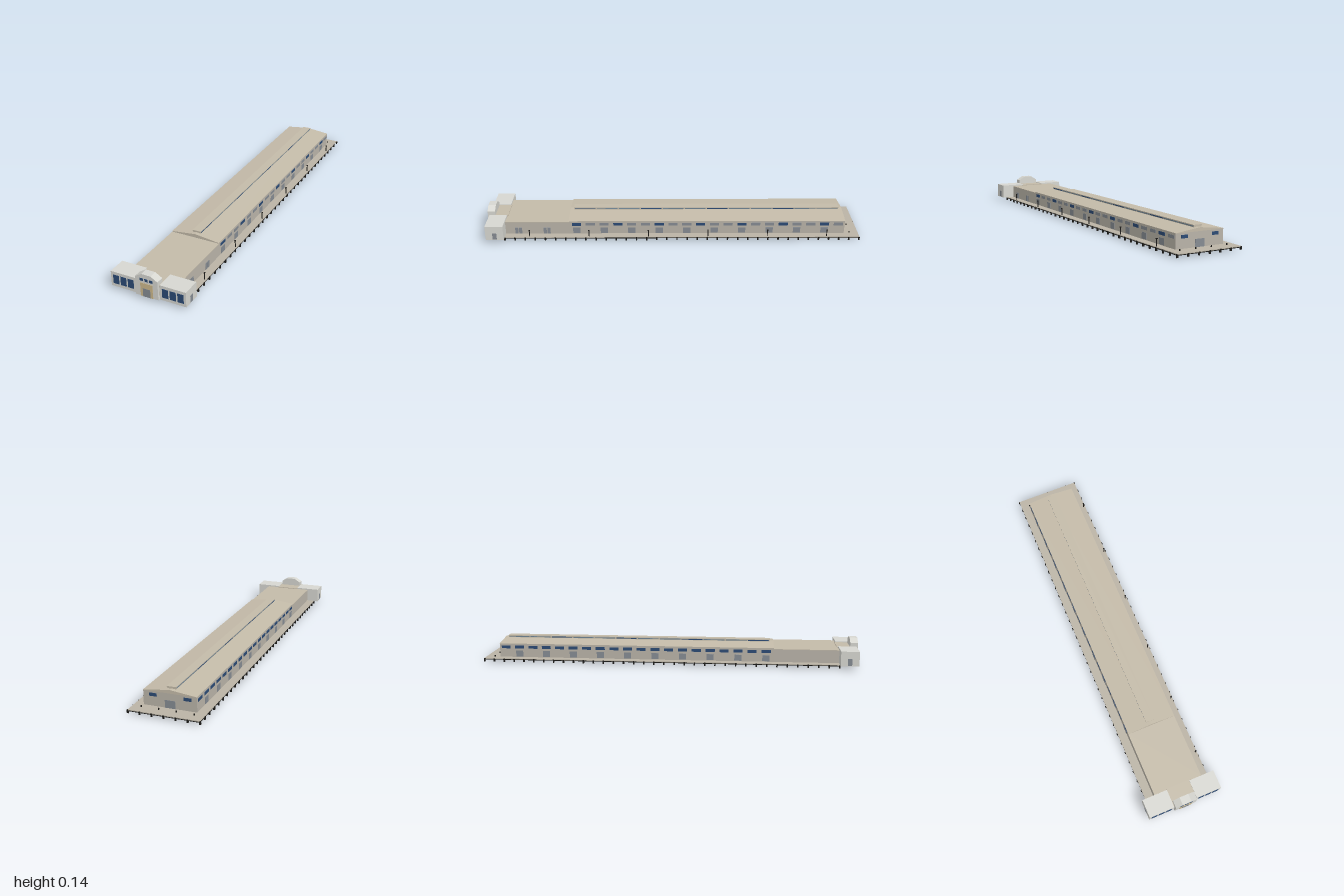
import * as THREE from 'three';

const mat = (color) => new THREE.MeshStandardMaterial({ color, flatShading: true });

export function createModel() {
  const model = new THREE.Group();
  model.name = 'stationBuilding';

  const stone = mat(0xb9b3a8), roofMat = mat(0xc3baa8), deckMat = mat(0xbab3a5);
  const pale = mat(0xd6d6d0), blue = mat(0x2b4a74), grey = mat(0x858b92);
  const dark = mat(0x1c1b19), glass = mat(0x6f8494), cream = mat(0xcdb98c);

  // The building lies along its own x axis and is turned as a whole
  const building = new THREE.Group();
  building.name = 'building';
  building.rotation.y = THREE.MathUtils.degToRad(35);
  model.add(building);

  // Box given by its limits on each axis
  const box = (name, m, x0, x1, y0, y1, z0, z1) => {
    const mesh = new THREE.Mesh(new THREE.BoxGeometry(x1 - x0, y1 - y0, z1 - z0), m);
    mesh.position.set((x0 + x1) / 2, (y0 + y1) / 2, (z0 + z1) / 2);
    mesh.name = name;
    building.add(mesh);
    return mesh;
  };
  // Outline in (z, y), extruded along x from x0 to x1
  const prism = (name, m, pts, x0, x1) => {
    const shape = new THREE.Shape(pts.map(([z, y]) => new THREE.Vector2(-z, y)));
    const geo = new THREE.ExtrudeGeometry(shape, { depth: x1 - x0, bevelEnabled: false });
    geo.rotateY(Math.PI / 2);
    const mesh = new THREE.Mesh(geo, m);
    mesh.position.x = x0;
    mesh.name = name;
    building.add(mesh);
    return mesh;
  };
  // Thin panels on a side wall (facing z) or an end wall (facing x)
  const sidePanel = (name, m, x, z, w, y0, y1) =>
    box(name, m, x - w / 2, x + w / 2, y0, y1, z - 0.0015, z + 0.0015);
  const endPanel = (name, m, x, z, w, y0, y1) =>
    box(name, m, x - 0.0015, x + 0.0015, y0, y1, z - w / 2, z + w / 2);

  const MID = -0.007, HALF = 0.142, BASE = 0.018;
  const Z0 = MID - HALF, Z1 = MID + HALF;

  // Platform deck with dark underside
  box('platformDeck', deckMat, -0.965, 1.093, 0.015, BASE + 0.001, MID - 0.19, MID + 0.188);
  box('platformUnderside', dark, -0.965, 1.093, 0.011, 0.015, MID - 0.19, MID + 0.188);

  // Piles under the platform
  const cols = 36, rows = 7;
  const piles = new THREE.InstancedMesh(new THREE.BoxGeometry(0.008, 0.018, 0.008), dark, cols * rows);
  piles.name = 'piles';
  const pose = new THREE.Matrix4();
  for (let i = 0; i < cols; i++) {
    for (let j = 0; j < rows; j++) {
      pose.makeTranslation(-0.96 + i * 2.05 / (cols - 1), 0.009, MID - 0.19 + j * 0.378 / (rows - 1));
      piles.setMatrixAt(i * rows + j, pose);
    }
  }
  building.add(piles);

  // Low hall with flat roof
  box('lowHall', stone, -0.96, -0.59, BASE, 0.091, Z0, Z1);
  box('lowHallRoof', roofMat, -0.96, -0.59, 0.091, 0.094, Z0, Z1);

  // Main hall with a shallow gabled roof
  box('mainHall', stone, -0.59, 1.01, BASE, 0.097, Z0, Z1);
  prism('mainRoof', roofMat, [[Z0, 0.097], [Z1, 0.097], [Z1, 0.099], [MID, 0.116], [Z0, 0.099]], -0.592, 1.012);

  // Roof lantern with glazed sides
  box('lantern', roofMat, -0.57, 0.99, 0.108, 0.122, MID - 0.024, MID + 0.022);
  box('lanternRoof', roofMat, -0.572, 0.992, 0.122, 0.126, MID - 0.026, MID + 0.024);
  for (const z of [MID - 0.024, MID + 0.022]) {
    for (let i = 0; i < 12; i++) {
      sidePanel('lanternGlazing', i % 3 ? glass : blue, -0.505 + i * 0.13, z, 0.122, 0.116, 0.121);
    }
  }

  // Windows and doors along both sides
  for (let i = 0; i < 20; i++) {
    const x = -0.547 + i * 0.08;
    sidePanel('upperWindow', i % 3 ? grey : blue, x, Z1, 0.053, 0.07, 0.087);
    sidePanel('upperWindow', blue, x, Z0, 0.053, 0.07, 0.087);
    if (i % 2 === 0) {
      for (const z of [Z0, Z1]) sidePanel('lowerDoor', grey, x, z, 0.042, 0.022, 0.057);
    }
  }
  for (const x of [-0.885, -0.72]) {
    for (const dx of [-0.011, 0.011]) sidePanel('lowHallDoor', grey, x + dx, Z1, 0.018, 0.019, 0.057);
  }

  // Far end wall
  for (const dz of [-0.093, 0.09]) endPanel('endWindow', blue, 1.01, MID + dz, 0.04, 0.07, 0.087);
  endPanel('endDoor', grey, 1.01, MID, 0.055, BASE, 0.06);

  // Entrance wings, mirrored about the middle
  for (const s of [-1, 1]) {
    const a = MID + s * 0.068, b = MID + s * 0.2145;
    const lo = Math.min(a, b), hi = Math.max(a, b);
    box('entranceWing', pale, -1.064, -0.961, BASE, 0.102, lo, hi);
    for (const k of [-1, 0, 1]) {
      endPanel('wingWindow', blue, -1.064, (lo + hi) / 2 + k * 0.043, 0.034, 0.035, 0.085);
    }
    sidePanel('wingSideDoor', grey, -1.012, b, 0.024, 0.022, 0.06);
  }

  // Entrance centre with chamfered front tower
  box('entranceCentre', roofMat, -1.06, -0.955, BASE, 0.098, MID - 0.07, MID + 0.07);
  prism('entranceTower', pale, [
    [MID - 0.064, BASE], [MID + 0.064, BASE], [MID + 0.064, 0.122],
    [MID + 0.026, 0.145], [MID - 0.026, 0.145], [MID - 0.064, 0.122],
  ], -1.074, -1.03);
  endPanel('entranceSurround', cream, -1.0745, MID, 0.07, BASE, 0.095);
  endPanel('entranceDoor', grey, -1.0755, MID, 0.042, BASE, 0.065);
  for (const k of [-1, 0, 1]) endPanel('towerWindow', blue, -1.0745, MID + k * 0.027, 0.018, 0.107, 0.121);

  // Lamp posts on the front platform
  for (let i = 0; i < 6; i++) {
    const x = -0.817 + i * 0.344;
    box('lampPost', dark, x - 0.002, x + 0.002, BASE, 0.058, 0.17, 0.174);
    box('lampHead', dark, x - 0.004, x + 0.004, 0.056, 0.06, 0.168, 0.176);
  }
  // Bollards on the end platform
  for (let i = 0; i < 4; i++) {
    const z = MID - 0.14 + i * 0.093;
    box('bollard', dark, 1.04, 1.045, BASE, 0.028, z - 0.0025, z + 0.0025);
  }
  return model;
}
